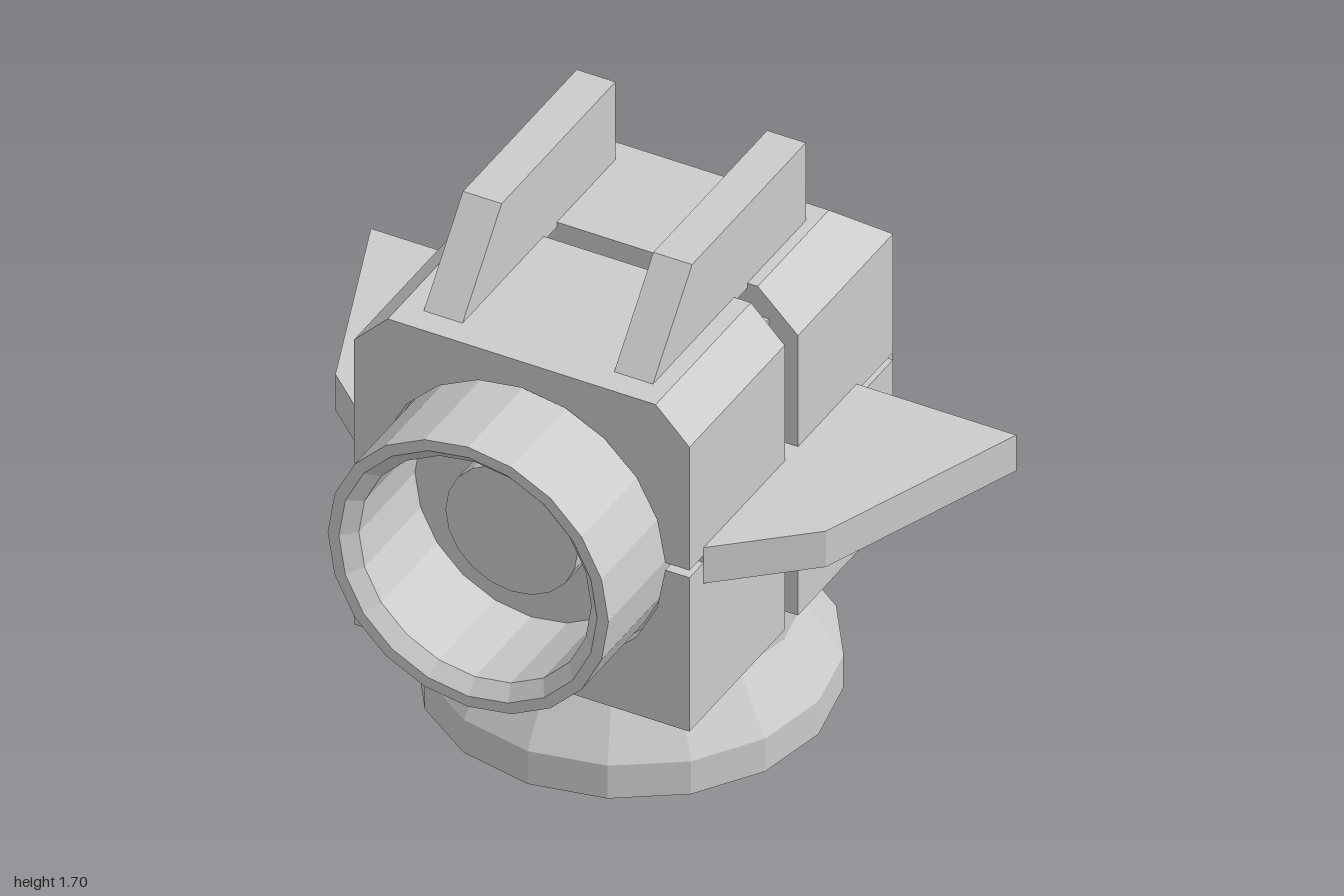
import * as THREE from 'three';
import { ConvexGeometry } from 'three/addons/geometries/ConvexGeometry.js';

const CX = -0.015; // body centre line
const BARREL_Y = 0.905;

export function createModel() {
  const model = new THREE.Group();
  const grey = new THREE.MeshStandardMaterial({ color: 0xcccccc, flatShading: true });

  const add = (name, geometry) => {
    const mesh = new THREE.Mesh(geometry, grey);
    mesh.name = name;
    model.add(mesh);
  };
  const box = (x0, x1, y0, y1, z0, z1) => new THREE.BoxGeometry(x1 - x0, y1 - y0, z1 - z0)
    .translate((x0 + x1) / 2, (y0 + y1) / 2, (z0 + z1) / 2);
  const extrude = (points, depth) => {
    const shape = new THREE.Shape(points.map(([x, y]) => new THREE.Vector2(x, y)));
    return new THREE.ExtrudeGeometry(shape, { depth, bevelEnabled: false }).translate(0, 0, -depth / 2);
  };
  // Side profile given as (z, y), extruded across x
  const sidePlate = (points, width, x) => extrude(points, width).rotateY(-Math.PI / 2).translate(x, 0, 0);
  const lathe = (points, sides) =>
    new THREE.LatheGeometry(points.map(([r, y]) => new THREE.Vector2(r, y)), sides);

  // Front body halves, each with half of the round barrel opening
  const frontBlock = (name, dir, corners) => {
    const points = [];
    for (let i = 0; i <= 10; i++) {
      const a = 0.028 + (Math.PI - 0.056) * i / 10;
      points.push([0.445 * Math.cos(a), BARREL_Y + dir * 0.445 * Math.sin(a)]);
    }
    for (const [x, y] of corners) points.push([-x, y]);
    for (const [x, y] of [...corners].reverse()) points.push([x, y]);
    add(name, extrude(points, 0.54).translate(CX, 0, 0.267));
  };
  frontBlock('upperFrontBody', 1, [[0.52, 0.917], [0.52, 1.33], [0.415, 1.437]]);
  frontBlock('lowerFrontBody', -1, [[0.52, 0.893], [0.52, 0.377]]);

  // Back body halves, the upper one chamfered on three sides
  const upperBack = [];
  for (const s of [-1, 1]) {
    for (const z of [-0.078, -0.617]) {
      for (const y of [0.917, 1.315]) upperBack.push(new THREE.Vector3(CX + s * 0.52, y, z));
      upperBack.push(new THREE.Vector3(CX + s * 0.395, 1.437, Math.max(z, -0.482)));
    }
  }
  add('upperBackBody', new ConvexGeometry(upperBack));
  add('lowerBackBody', box(CX - 0.52, CX + 0.52, 0.377, 0.893, -0.617, -0.078));

  // Inner core seen through the gaps and at the bottom of the barrel
  add('core', box(CX - 0.43, CX + 0.43, 0.47, 1.34, -0.56, 0.48));

  // Open barrel with a bevelled inner rim, and a raised disc inside
  add('barrel', lathe([
    [0.435, 0.47], [0.435, 0.837], [0.4, 0.837], [0.36, 0.797], [0.36, 0.47],
  ], 20).rotateX(Math.PI / 2).translate(CX - 0.002, BARREL_Y, 0));
  add('lensDisc', new THREE.CylinderGeometry(0.205, 0.205, 0.12, 20)
    .rotateX(Math.PI / 2).translate(CX - 0.002, BARREL_Y, 0.53));

  // Flared base with a conical hollow underneath
  add('base', lathe([
    [0, 0.33], [0.42, 0.33], [0.42, 0.21], [0.583, 0],
    [0.583, 0.11], [0.475, 0.28], [0.475, 0.565], [0, 0.565],
  ], 16).translate(CX, 0, -0.08));

  // Backpack with a sloped top
  add('backpack', sidePlate([
    [-0.56, 0.513], [-0.837, 0.513], [-0.837, 0.962], [-0.615, 1.153], [-0.56, 1.153],
  ], 0.795, CX));

  // Paired top fins and side wings
  for (const [side, s] of [['left', 1], ['right', -1]]) {
    add(side + 'TopFin', sidePlate([
      [0.475, 1.42], [0.457, 1.437], [0.235, 1.697], [-0.41, 1.697], [-0.41, 1.42],
    ], 0.12, -0.007 + s * 0.295));
    add(side + 'Wing', extrude([
      [s * 0.485, 0.457], [s * 0.505, 0.457], [s * 0.76, 0.23], [s, -0.41], [s * 0.445, -0.41],
    ], 0.12).rotateX(Math.PI / 2).translate(0, 0.883, 0));
  }
  return model;
}
